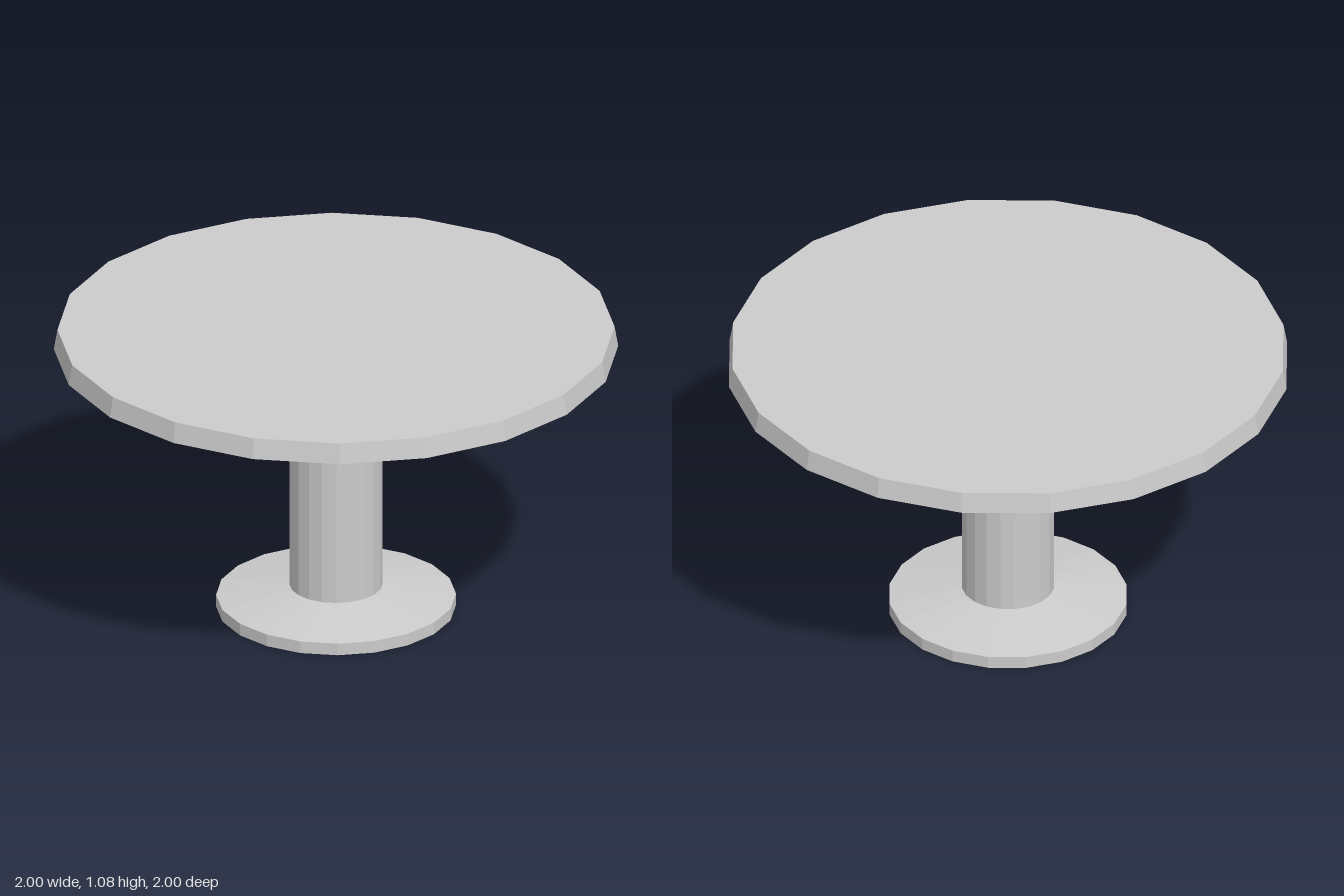
import * as THREE from 'three';

const SIDES = 20;

// Turned part from a [radius, height] profile, listed from bottom to top
function turned(name, profile, material) {
  const points = profile.map(([r, y]) => new THREE.Vector2(r, y));
  const mesh = new THREE.Mesh(new THREE.LatheGeometry(points, SIDES), material);
  mesh.name = name;
  return mesh;
}

export function createModel() {
  const group = new THREE.Group();
  group.name = 'pedestalTable';
  const material = new THREE.MeshStandardMaterial({
    color: 0xcccccc, flatShading: true, side: THREE.DoubleSide,
  });

  // Round foot: short rim, then a shallow cone up to the column
  group.add(turned('foot', [[0, 0], [0.425, 0], [0.425, 0.045], [0.165, 0.085]], material));

  // Straight column
  group.add(turned('column', [[0.165, 0.085], [0.165, 0.775]], material));

  // Two-step flare that carries the top
  group.add(turned('flare', [[0.165, 0.775], [0.285, 0.88], [0.76, 1.005]], material));

  // Table top, tapering slightly upward
  group.add(turned('tableTop', [[0.76, 1.005], [1, 1.005], [0.987, 1.08], [0, 1.08]], material));

  return group;
}
